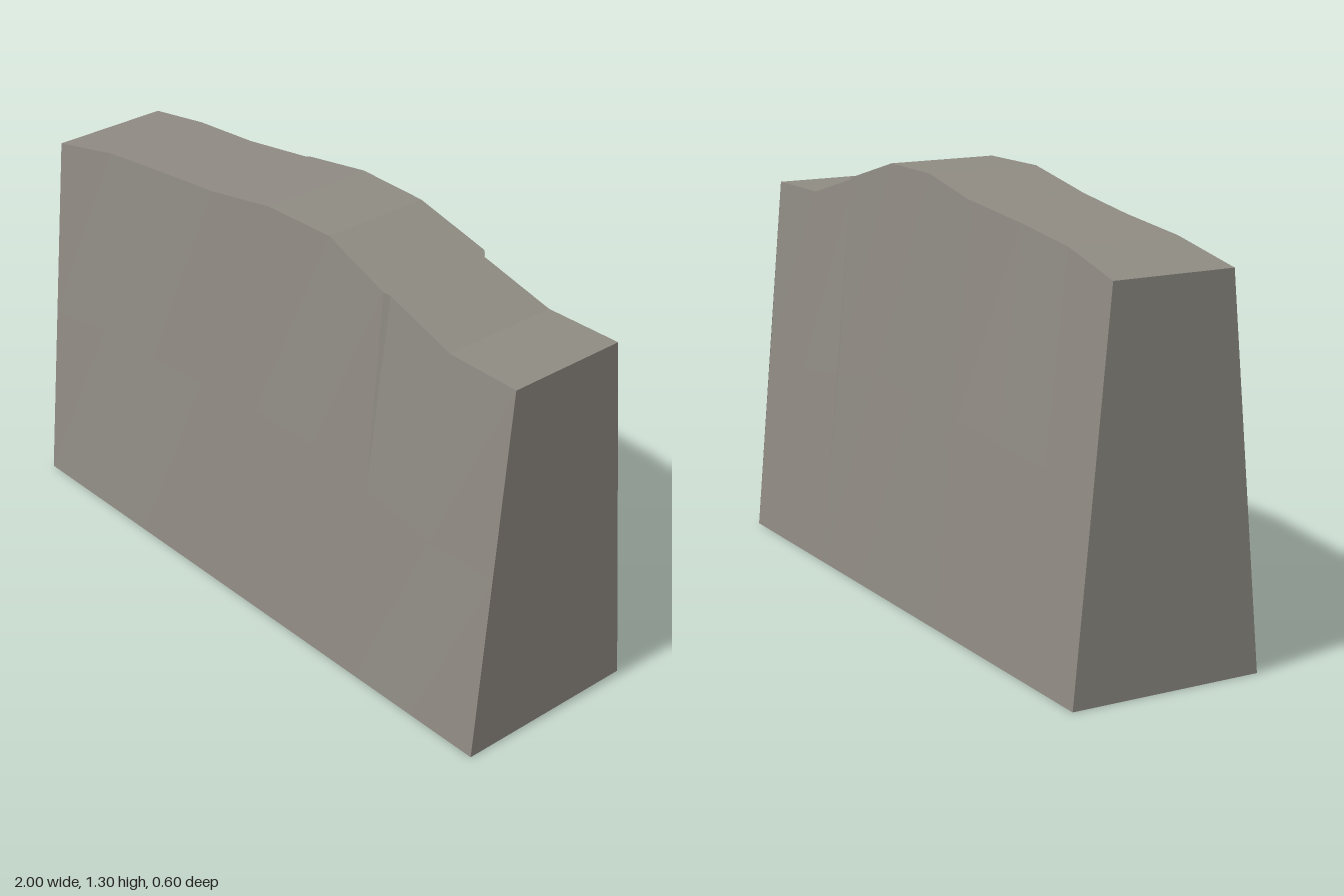
import * as THREE from 'three';

export function createModel() {
  const model = new THREE.Group();
  model.name = 'stoneWall';
  const stone = new THREE.MeshStandardMaterial({ color: 0x8f8b83, flatShading: true });
  stone.name = 'warm grey stone';

  // Stations along the wall: x, top height, front top z, back top z, front mid z, back mid z
  const stations = [
    [-1, 1.15, 0.19, 0.19, 0.245, 0.245],
    [-0.75, 1.2, 0.18, 0.172, 0.24, 0.24],
    [-0.5, 1.225, 0.175, 0.165, 0.238, 0.238],
    [-0.26, 1.253, 0.18, 0.18, 0.24, 0.238],
    [-0.24, 1.257, 0.18, 0.186, 0.24, 0.243],
    [0, 1.3, 0.18, 0.18, 0.24, 0.24],
    [0.25, 1.3, 0.172, 0.175, 0.238, 0.238],
    [0.49, 1.228, 0.189, 0.192, 0.243, 0.245],
    [0.51, 1.222, 0.18, 0.172, 0.243, 0.239],
    [0.75, 1.15, 0.187, 0.188, 0.244, 0.244],
    [1, 1.15, 0.19, 0.194, 0.245, 0.246],
  ];
  const base = 0.3;

  // Six-point cross-section: up the front, over the top, down the back
  const rings = stations.map(([x, top, front, back, frontMid, backMid]) => [
    [x, 0, base], [x, top / 2, frontMid], [x, top, front],
    [x, top, -back], [x, top / 2, -backMid], [x, 0, -base],
  ]);

  const positions = [];
  const polygon = (...p) => {
    for (let i = 1; i < p.length - 1; i++) positions.push(...p[0], ...p[i], ...p[i + 1]);
  };

  // Skin between neighbouring cross-sections, including the underside
  for (let i = 0; i < rings.length - 1; i++) {
    const a = rings[i], b = rings[i + 1];
    for (let j = 0; j < 6; j++) {
      const k = (j + 1) % 6;
      polygon(a[j], b[j], b[k], a[k]);
    }
  }
  // Flat ends
  polygon(...rings[0]);
  polygon(...rings[rings.length - 1].slice().reverse());

  const geometry = new THREE.BufferGeometry();
  geometry.setAttribute('position', new THREE.Float32BufferAttribute(positions, 3));
  geometry.computeVertexNormals();
  const wall = new THREE.Mesh(geometry, stone);
  wall.name = 'wallBody';
  model.add(wall);
  return model;
}
